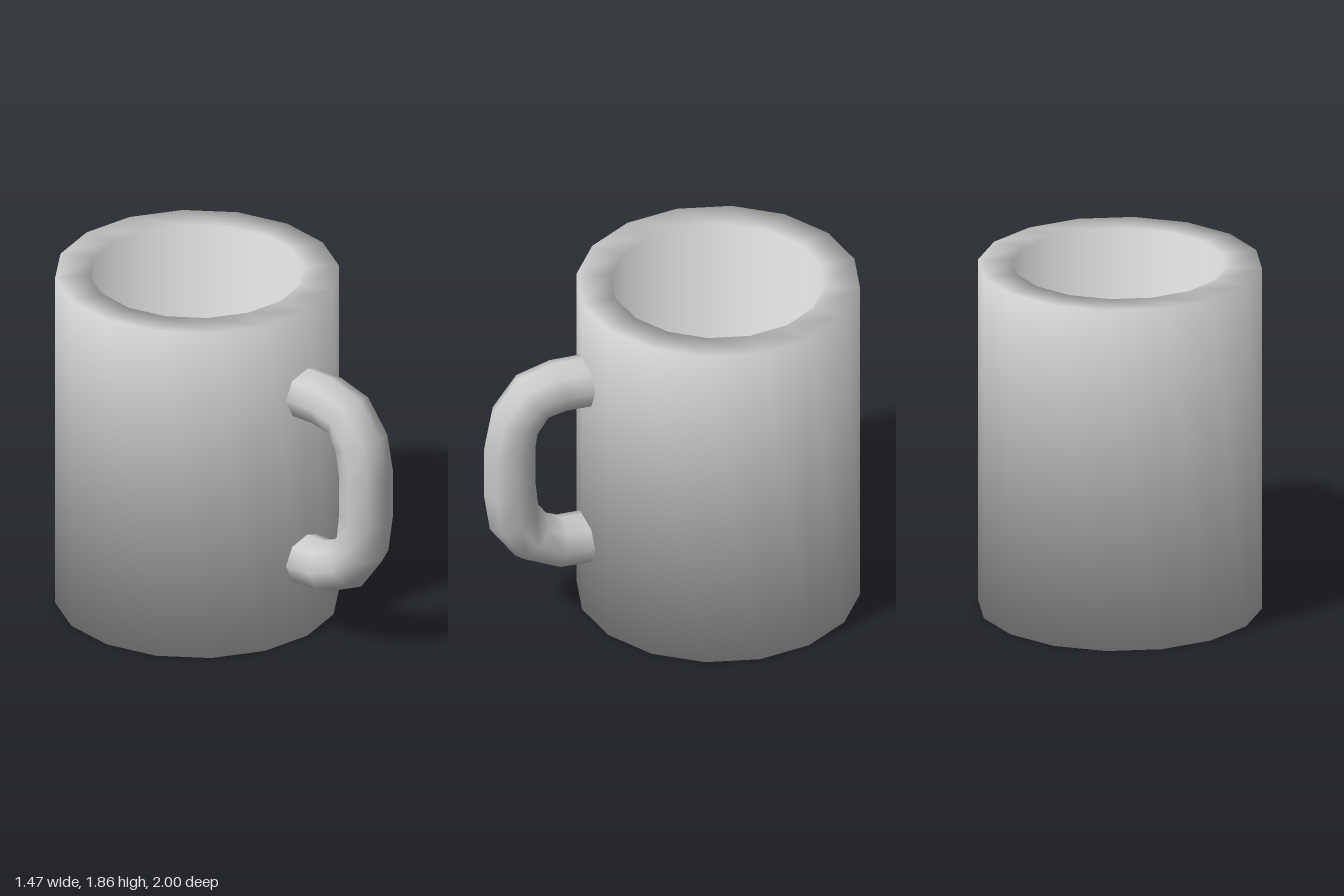
import * as THREE from 'three';

const material = new THREE.MeshStandardMaterial({ color: 0xcccccc });
const SIDES = 16, CENTRE_Z = -0.265;

// Straight-sided cup; each profile row is radius, height, normal outward, normal up
function makeCup() {
  const d = Math.SQRT1_2;
  const profile = [
    [0, 0, 0, -1],
    [0.735, 0, d, -d],
    [0.735, 1.86, d, d],
    [0.555, 1.86, -d, d],
    [0.555, 0.2, -d, d],
    [0, 0.2, 0, 1],
  ];
  const geometry = new THREE.LatheGeometry(profile.map(([r, y]) => new THREE.Vector2(r, y)), SIDES);
  // Soften the shading across the rim, base and floor corners
  const normal = geometry.attributes.normal;
  for (let i = 0; i <= SIDES; i++) {
    const a = (i / SIDES) * Math.PI * 2;
    profile.forEach(([, , out, up], j) => {
      normal.setXYZ(i * profile.length + j, out * Math.sin(a), up, out * Math.cos(a));
    });
  }
  const cup = new THREE.Mesh(geometry, material);
  cup.name = 'cup';
  cup.position.z = CENTRE_Z;
  return cup;
}

// Eight-sided tube swept along a C-shaped path in the YZ plane; ends sit inside the wall
function makeHandle() {
  const path = [
    [0.4, 1.39], [0.6, 1.385], [0.737, 1.345], [0.83, 1.215], [0.86, 1.05],
    [0.86, 0.8], [0.837, 0.63], [0.742, 0.5], [0.597, 0.44], [0.4, 0.44],
  ].map(([z, y]) => new THREE.Vector3(0, y, z));
  const radius = 0.14, sides = 8;
  const positions = [], indices = [];
  path.forEach((p, i) => {
    const before = path[Math.max(i - 1, 0)], after = path[Math.min(i + 1, path.length - 1)];
    const tangent = new THREE.Vector3();
    if (before !== p) tangent.add(p.clone().sub(before).normalize());
    if (after !== p) tangent.add(after.clone().sub(p).normalize());
    tangent.normalize();
    // Outward direction of the bend, perpendicular to the path
    const outY = tangent.z, outZ = -tangent.y;
    for (let k = 0; k < sides; k++) {
      const a = (k / sides) * Math.PI * 2;
      const c = Math.cos(a) * radius;
      positions.push(Math.sin(a) * radius, p.y + outY * c, p.z + outZ * c);
      if (i < path.length - 1) {
        const a0 = i * sides + k, a1 = i * sides + (k + 1) % sides;
        indices.push(a0, a0 + sides, a1, a1, a0 + sides, a1 + sides);
      }
    }
  });
  const geometry = new THREE.BufferGeometry();
  geometry.setAttribute('position', new THREE.Float32BufferAttribute(positions, 3));
  geometry.setIndex(indices);
  geometry.computeVertexNormals();
  const handle = new THREE.Mesh(geometry, material);
  handle.name = 'handle';
  return handle;
}

export function createModel() {
  const mug = new THREE.Group();
  mug.name = 'mug';
  mug.add(makeCup(), makeHandle());
  return mug;
}
